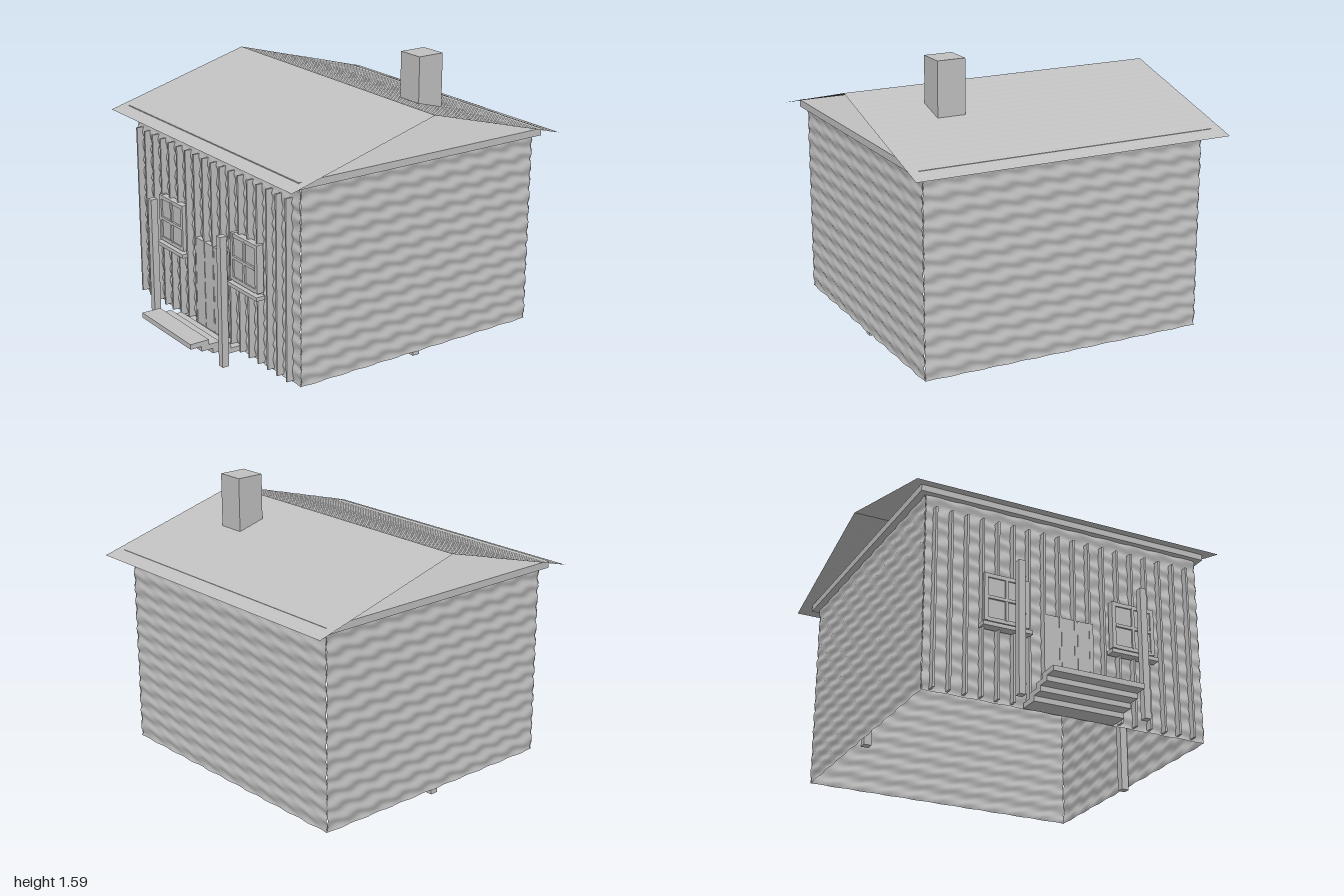
import * as THREE from 'three';

const grey = new THREE.MeshStandardMaterial({ color: 0xc0c0c0, side: THREE.DoubleSide });
grey.name = 'pale grey';

export function createModel() {
  const model = new THREE.Group();
  model.name = 'logCabin';

  const add = (name, geometry) => {
    const mesh = new THREE.Mesh(geometry, grey);
    mesh.name = name;
    model.add(mesh);
    return mesh;
  };
  // Box given by its lower and upper limits on each axis
  const box = (name, x0, x1, y0, y1, z0, z1) =>
    add(name, new THREE.BoxGeometry(x1 - x0, y1 - y0, z1 - z0))
      .position.set((x0 + x1) / 2, (y0 + y1) / 2, (z0 + z1) / 2);

  // Sheet pushed along its own normal by a rule
  const rippled = (w, h, nx, ny, rule) => {
    const g = new THREE.PlaneGeometry(w, h, nx, ny);
    const p = g.attributes.position;
    for (let i = 0; i < p.count; i++) p.setZ(i, rule(p.getX(i), p.getY(i)));
    g.computeVertexNormals();
    return g;
  };

  // Walls: open shell of rough, wavy log courses
  const TAU = Math.PI * 2;
  const pitch = 1.1 / 13;
  const logs = (x, y) => {
    const wander = 0.012 * Math.sin(TAU * x / 0.17 + Math.PI * y / pitch);
    return 0.005 * Math.sin(TAU * (y + wander) / pitch);
  };
  const wall = (name, width, x, z, turn) => {
    const mesh = add(name, rippled(width, 1.1, 72, 104, logs));
    mesh.position.set(x, 0.58, z);
    mesh.rotation.y = turn;
  };
  wall('frontWall', 1.65, 0, 0.675, 0);
  wall('backWall', 1.65, 0, -0.875, Math.PI);
  wall('leftWall', 1.55, 0.825, -0.1, Math.PI / 2);
  wall('rightWall', 1.55, -0.825, -0.1, -Math.PI / 2);

  // Ceiling slab and the two inner posts that carry the house
  box('ceilingSlab', -0.865, 0.86, 1.125, 1.165, -0.91, 0.71);
  for (const x of [-0.797, 0.788])
    box('innerPost', x - 0.022, x + 0.022, 0, 1.13, -0.122, -0.078);

  // Roof: two thin, finely ribbed slopes with open gables
  const run = 0.895, rise = 0.248, slope = Math.atan2(rise, run);
  for (const side of [1, -1]) {
    const g = rippled(1.84, Math.hypot(run, rise), 1, 120, (x, y) => 0.0006 * Math.sin(TAU * y / 0.046));
    g.rotateX(-Math.PI / 2 + slope);
    if (side < 0) g.rotateY(Math.PI);
    add(side > 0 ? 'frontRoof' : 'backRoof', g)
      .position.set(-0.004, 1.138 + rise / 2, -0.105 + side * run / 2);
  }

  // Chimney
  box('chimney', 0.38, 0.54, 1.25, 1.59, -0.46, -0.3);

  // Upright battens on the front wall
  for (let i = 0; i < 18; i++) {
    const x = -0.776 + i * 0.0895;
    box('batten', x - 0.006, x + 0.006, 0.04, 1.05, 0.67, 0.713);
  }

  // Door of three planks
  for (let i = 0; i < 3; i++) {
    const x = -0.147 + i * 0.0955;
    box('doorPlank', x, x + 0.094, 0.06, 0.57, 0.68, 0.711);
  }

  // Windows: pane, frame, cross bars and sill
  for (const x of [-0.38, 0.375]) {
    box('windowPane', x - 0.115, x + 0.115, 0.465, 0.705, 0.69, 0.722);
    for (const s of [-1, 1]) {
      box('windowStile', x + s * 0.118 - 0.011, x + s * 0.118 + 0.011, 0.455, 0.725, 0.69, 0.731);
      const y = 0.588 + s * 0.124;
      box('windowRail', x - 0.107, x + 0.107, y - 0.011, y + 0.011, 0.69, 0.73);
    }
    box('windowMullion', x - 0.008, x + 0.008, 0.47, 0.71, 0.69, 0.732);
    box('windowCrossBar', x - 0.107, x + 0.107, 0.58, 0.597, 0.69, 0.733);
    box('windowSill', x - 0.142, x + 0.142, 0.42, 0.442, 0.69, 0.745);
  }

  // Free-standing porch posts
  for (const x of [-0.366, 0.356])
    box('porchPost', x - 0.019, x + 0.019, 0.02, 0.762, 0.832, 0.872);

  // Steps, each one higher and further out than the last
  for (let i = 0; i < 4; i++)
    box('step', -0.262, 0.26, 0.03 + i * 0.029, 0.059 + i * 0.029, 0.678 + i * 0.069, 0.793 + i * 0.069);

  return model;
}
